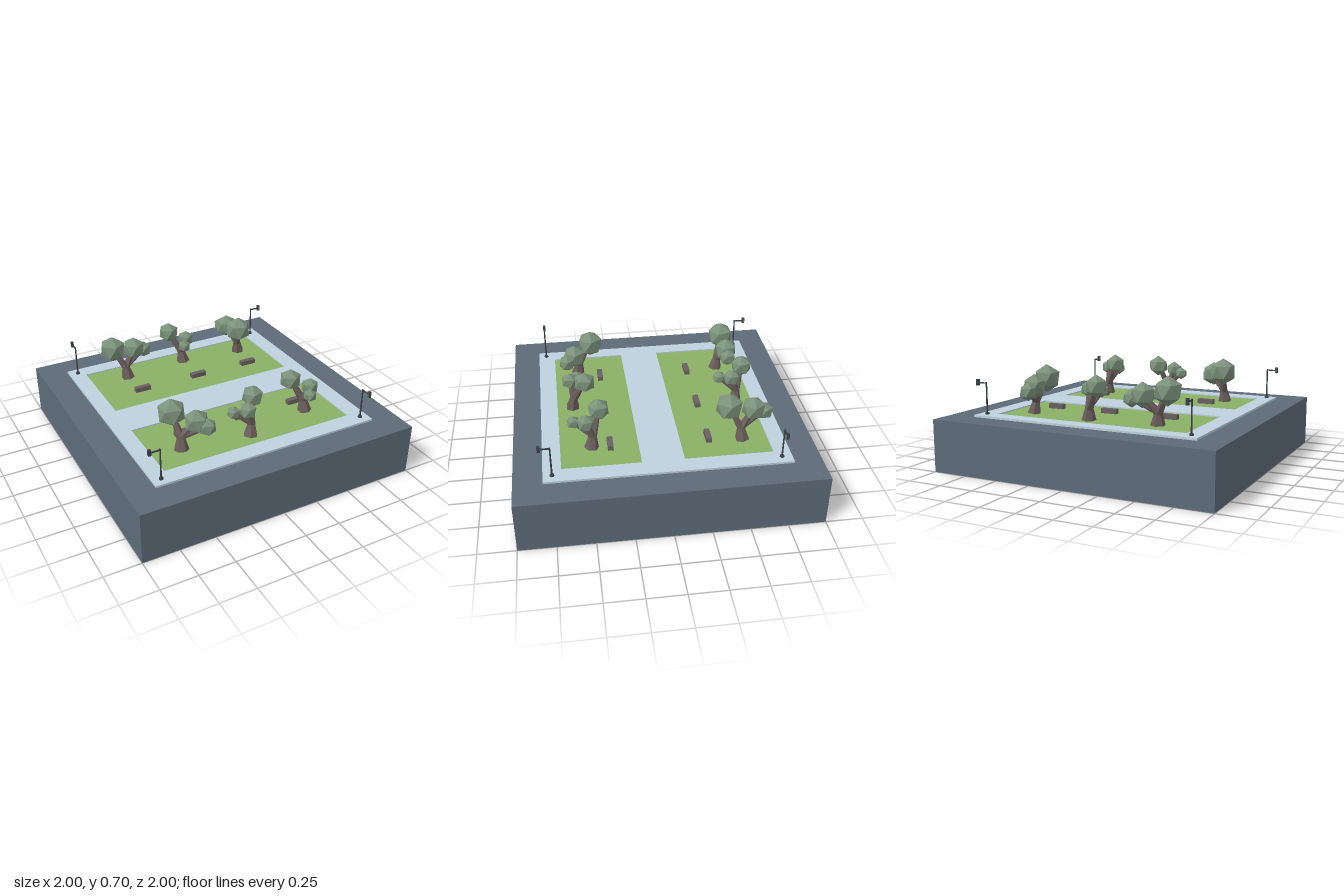
import * as THREE from 'three';

const mat = (color) => new THREE.MeshStandardMaterial({ color, flatShading: true });
const M = {
  road: mat(0x5d6b78), paving: mat(0xbdd1dd), grass: mat(0x8ab065), leaf: mat(0x7b917a),
  bark: mat(0x6b5e5c), bench: mat(0x6a5f62), metal: mat(0x3a4148),
  red: mat(0xb0402f), amber: mat(0xc09030), green: mat(0x3f9a55),
};
const GROUND = 0.365;

function add(parent, name, geometry, material, x = 0, y = 0, z = 0) {
  const mesh = new THREE.Mesh(geometry, material);
  mesh.name = name;
  mesh.position.set(x, y, z);
  parent.add(mesh);
  return mesh;
}

// Tapered six-sided limb between two points
function limb(parent, name, a, b, r0, r1) {
  const dir = b.clone().sub(a);
  const mesh = add(parent, name, new THREE.CylinderGeometry(r1, r0, dir.length(), 6), M.bark);
  mesh.position.copy(a).addScaledVector(dir, 0.5);
  mesh.quaternion.setFromUnitVectors(new THREE.Vector3(0, 1, 0), dir.normalize());
}

// Crown balls are [x, y, z, radius], relative to the foot of the trunk
const LARGE = [[-0.09, 0.235, -0.05, 0.098], [0.08, 0.2, -0.06, 0.086], [0.155, 0.175, -0.06, 0.063]];
const SMALL = [[-0.09, 0.24, -0.06, 0.077], [0.01, 0.205, 0.03, 0.061], [-0.04, 0.185, 0.11, 0.047]];

function tree(name, balls, x, z, turn) {
  const g = new THREE.Group();
  g.name = name;
  g.position.set(x, GROUND, z);
  g.rotation.y = turn;
  const fork = new THREE.Vector3(-0.01, 0.09, -0.012);
  limb(g, 'trunk', new THREE.Vector3(), fork, 0.05, 0.026);
  balls.forEach(([bx, by, bz, r], i) => {
    const leaf = new THREE.IcosahedronGeometry(r, 0);
    leaf.rotateX(-Math.atan((1 + Math.sqrt(5)) / 2)); // one corner points up
    add(g, 'foliage', leaf, M.leaf, bx, by, bz);
    limb(g, 'branch', fork.clone().setY(0.08), new THREE.Vector3(bx, by, bz), i < 2 ? 0.028 : 0.016, 0.016);
  });
  return g;
}

// Signal post: arm along +x, lamps facing +z
function trafficLight() {
  const g = new THREE.Group();
  g.name = 'trafficLight';
  add(g, 'foot', new THREE.CylinderGeometry(0.013, 0.016, 0.012, 8), M.metal, 0, 0.006, 0);
  add(g, 'pole', new THREE.CylinderGeometry(0.005, 0.006, 0.22, 8), M.metal, 0, 0.11, 0);
  add(g, 'arm', new THREE.BoxGeometry(0.075, 0.008, 0.008), M.metal, 0.034, 0.212, 0);
  add(g, 'signalHead', new THREE.BoxGeometry(0.019, 0.042, 0.017), M.metal, 0.07, 0.214, 0);
  [M.green, M.amber, M.red].forEach((m, i) => {
    const lamp = new THREE.CylinderGeometry(0.005, 0.005, 0.003, 8).rotateX(Math.PI / 2);
    add(g, 'signalLamp', lamp, m, 0.07, 0.201 + i * 0.013, 0.009);
  });
  return g;
}

function rect(target, x0, x1, z0, z1) {
  // Shape y becomes -z once laid flat
  target.moveTo(x0, -z1);
  target.lineTo(x1, -z1);
  target.lineTo(x1, -z0);
  target.lineTo(x0, -z0);
  target.closePath();
  return target;
}

export function createModel() {
  const model = new THREE.Group();
  model.name = 'cityPark';

  // Road slab
  add(model, 'roadBase', new THREE.BoxGeometry(2, 0.36, 2), M.road, 0, 0.18, 0);

  // Raised pavement with two sunken lawns
  const lawns = [[-0.7, 0.69, -0.7, -0.11], [-0.7, 0.69, 0.17, 0.69]];
  const shape = rect(new THREE.Shape(), -0.81, 0.81, -0.81, 0.81);
  lawns.forEach((l) => shape.holes.push(rect(new THREE.Path(), ...l)));
  const paving = new THREE.ExtrudeGeometry(shape, { depth: 0.014, bevelEnabled: false });
  add(model, 'pavement', paving.rotateX(-Math.PI / 2), M.paving, 0, 0.36, 0);
  lawns.forEach(([x0, x1, z0, z1]) => {
    add(model, 'lawn', new THREE.BoxGeometry(x1 - x0, 0.01, z1 - z0), M.grass,
      (x0 + x1) / 2, GROUND - 0.005, (z0 + z1) / 2);
  });

  // Benches along both sides of the path
  for (const z of [-0.302, 0.358]) {
    for (const x of [-0.41, 0.042, 0.468]) {
      add(model, 'bench', new THREE.BoxGeometry(0.116, 0.034, 0.038), M.bench, x, GROUND + 0.016, z);
    }
  }

  // Trees
  model.add(
    tree('largeTreeBackLeft', LARGE, -0.43, -0.53, 0),
    tree('largeTreeFrontLeft', LARGE, -0.497, 0.52, -0.87),
    tree('largeTreeBackRight', LARGE, 0.51, -0.53, Math.PI / 2),
    tree('smallTreeBack', SMALL, 0.05, -0.575, 0),
    tree('smallTreeFront', SMALL, -0.02, 0.582, -Math.PI / 2),
    tree('smallTreeFrontRight', SMALL, 0.473, 0.482, 0),
  );

  // Traffic lights at the four corners, each a quarter turn on
  [[0.75, -0.74], [-0.75, -0.745], [-0.75, 0.755], [0.75, 0.75]].forEach(([x, z], i) => {
    const light = trafficLight();
    light.position.set(x, 0.374, z);
    light.rotation.y = i * Math.PI / 2;
    model.add(light);
  });
  return model;
}
